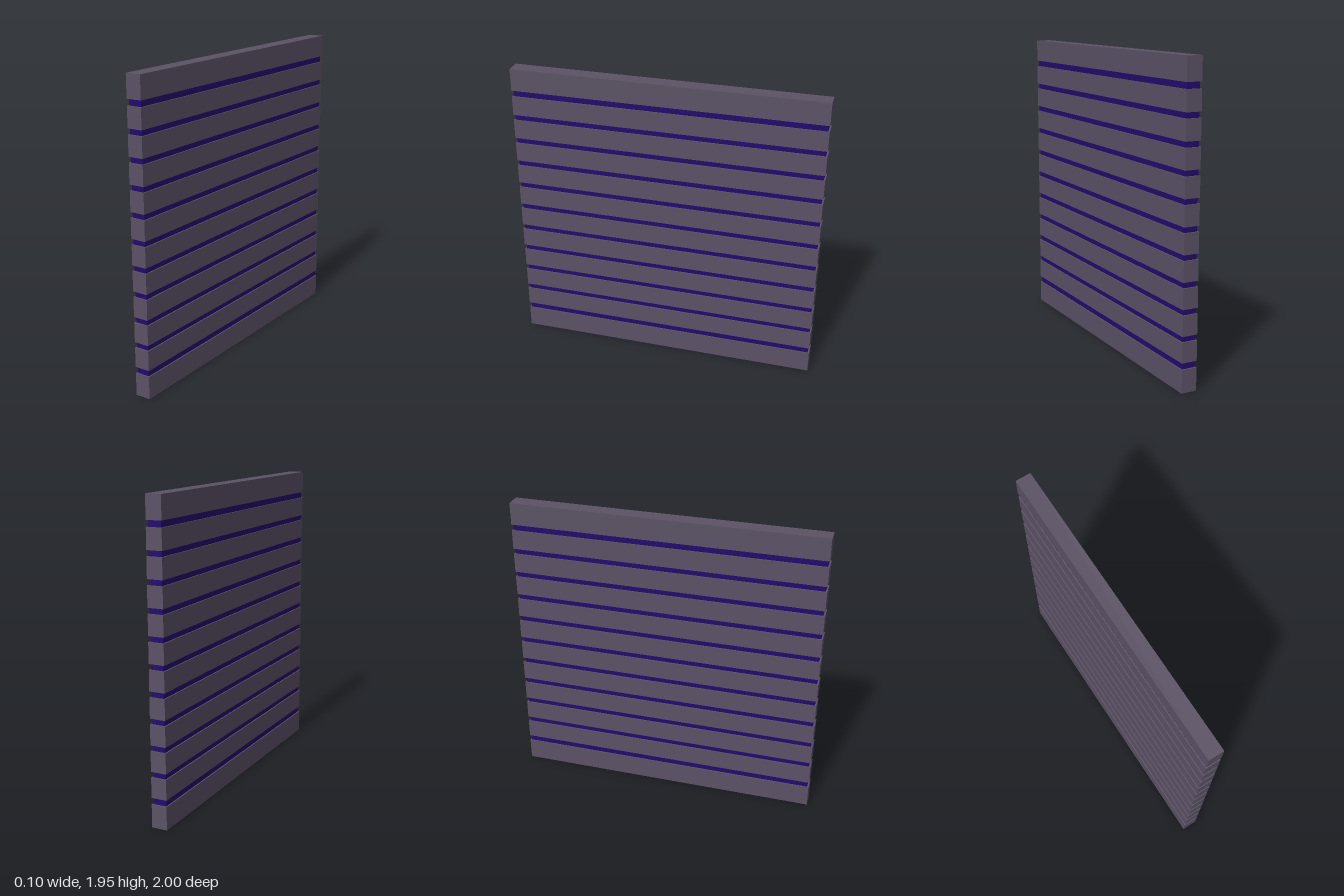
import * as THREE from 'three';

export function createModel() {
  const group = new THREE.Group();
  const slatMaterial = new THREE.MeshStandardMaterial({ color: 0x5b5265 });
  slatMaterial.name = 'greyPurple';
  const coreMaterial = new THREE.MeshStandardMaterial({ color: 0x220a6c });
  coreMaterial.name = 'deepIndigo';

  // Box spanning a height range, centred on x and z
  function addBox(name, width, depth, bottom, top, material) {
    const mesh = new THREE.Mesh(new THREE.BoxGeometry(width, top - bottom, depth), material);
    mesh.position.y = (bottom + top) / 2;
    mesh.name = name;
    group.add(mesh);
  }

  // Thick rails at the bottom and top
  addBox('bottomRail', 0.1, 2, 0, 0.145, slatMaterial);
  addBox('topRail', 0.1, 2, 1.805, 1.948, slatMaterial);

  // Ten evenly spaced slats
  for (let i = 0; i < 10; i++) {
    const bottom = 0.185 + i * 0.1616;
    addBox('slat' + (i + 1), 0.1, 2, bottom, bottom + 0.127, slatMaterial);
  }

  // Recessed core panel seen through the gaps
  addBox('corePanel', 0.084, 1.98, 0.05, 1.9, coreMaterial);

  return group;
}
